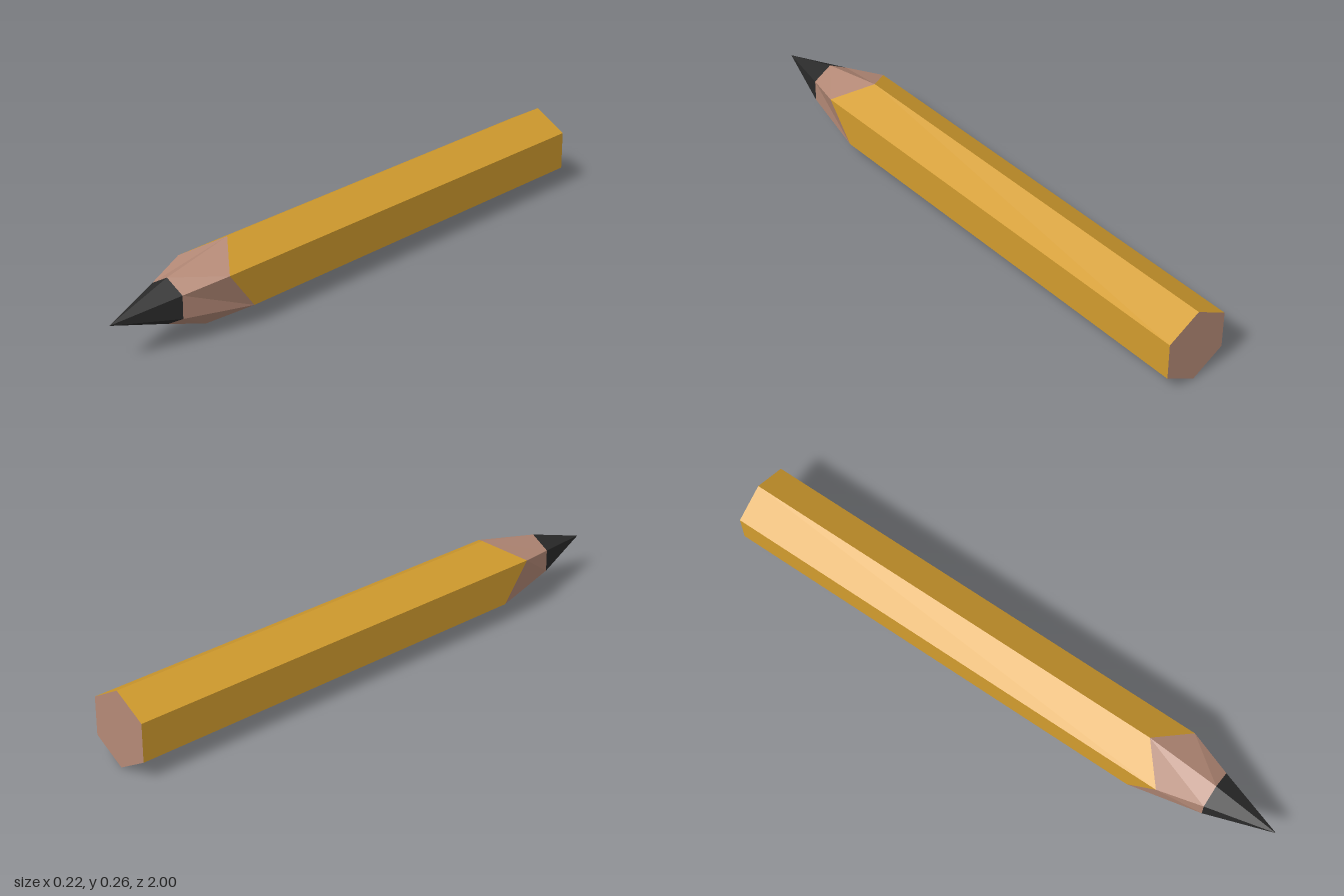
import * as THREE from 'three';

const R = 0.1295;       // hexagon corner radius
const LEAD_R = 0.076;   // corner radius where the lead begins
const BACK = -1, LEAD_Z = 0.77, TIP = 1;

const material = (name, color) => {
  const m = new THREE.MeshStandardMaterial({ color, flatShading: true });
  m.name = name;
  return m;
};

// Six corners, starting at the top; z may alternate between even and odd corners
function hexRing(radius, zEven, zOdd = zEven) {
  return Array.from({ length: 6 }, (_, i) => {
    const a = Math.PI / 2 + (i * Math.PI) / 3;
    return [radius * Math.cos(a), radius * Math.sin(a), i % 2 ? zOdd : zEven];
  });
}

// Flat-faced band joining a rear ring to a front ring
function band(rear, front) {
  const positions = [];
  for (let i = 0; i < 6; i++) {
    const j = (i + 1) % 6;
    positions.push(...rear[i], ...rear[j], ...front[j], ...rear[i], ...front[j], ...front[i]);
  }
  const geometry = new THREE.BufferGeometry();
  geometry.setAttribute('position', new THREE.Float32BufferAttribute(positions, 3));
  geometry.computeVertexNormals();
  return geometry;
}

export function createModel() {
  const paint = material('yellow paint', 0xd29c2e);
  const wood = material('bare wood', 0xb58a77);
  const graphite = material('dark graphite', 0x2b2b2b);

  const pencil = new THREE.Group();
  pencil.name = 'pencil';
  const add = (name, geometry, mat) => {
    const mesh = new THREE.Mesh(geometry, mat);
    mesh.name = name;
    pencil.add(mesh);
    return mesh;
  };

  // Painted barrel, ending in a zigzag where it was sharpened
  const sharpenedEdge = hexRing(R, 0.52, 0.62);
  add('barrel', band(hexRing(R, BACK), sharpenedEdge), paint);

  // Tapered wood between the barrel and the lead
  add('sharpenedWood', band(sharpenedEdge, hexRing(LEAD_R, LEAD_Z)), wood);

  // Pointed lead
  const lead = new THREE.ConeGeometry(LEAD_R, TIP - LEAD_Z, 6, 1, true);
  lead.rotateX(Math.PI / 2).translate(0, 0, (TIP + LEAD_Z) / 2);
  add('leadTip', lead, graphite);

  // Flat wooden rear end
  const end = new THREE.CircleGeometry(R, 6, Math.PI / 2);
  end.rotateY(Math.PI).translate(0, 0, BACK);
  add('rearEnd', end, wood);

  pencil.position.y = R;
  const model = new THREE.Group();
  model.name = 'pencilModel';
  model.add(pencil);
  return model;
}
